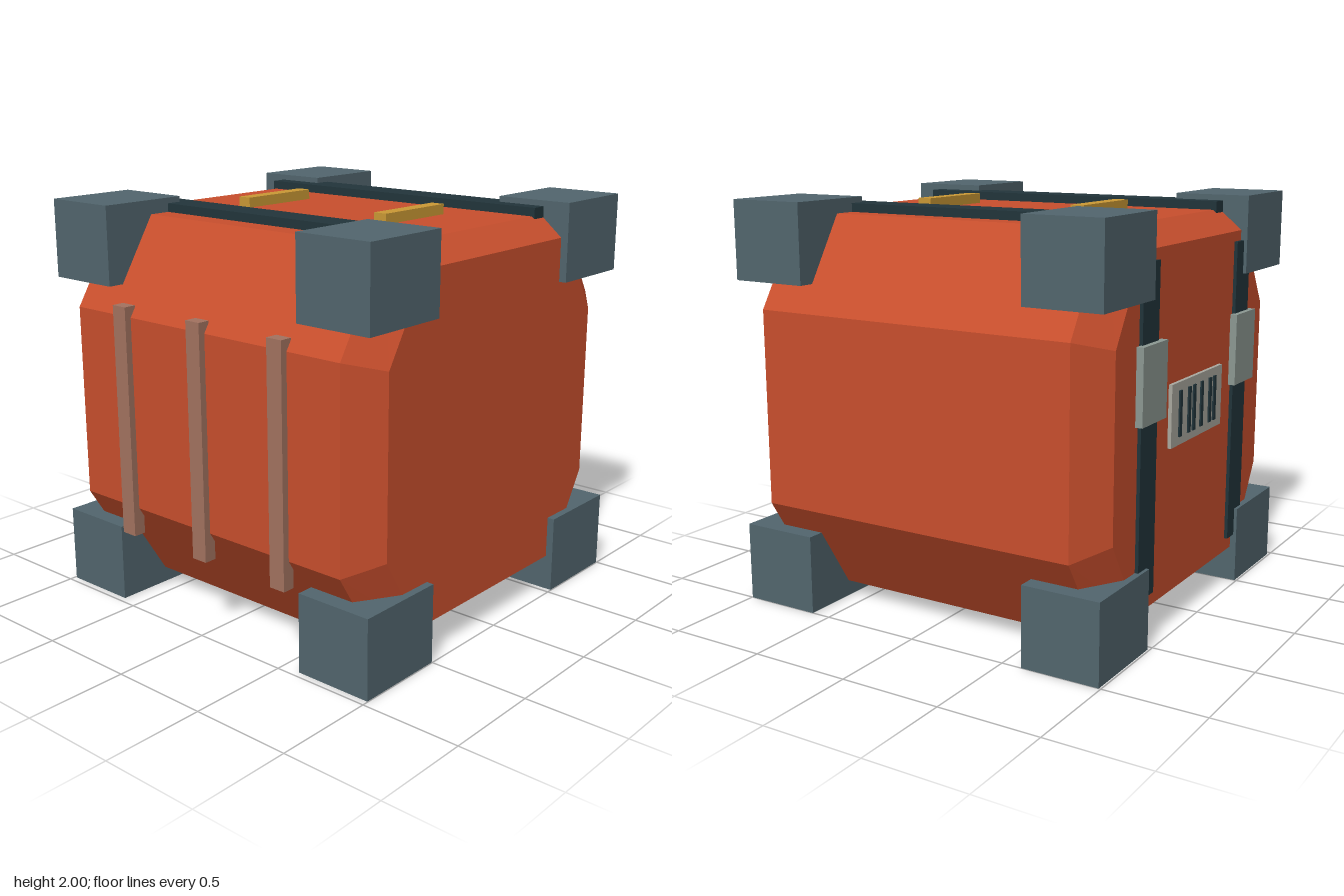
import * as THREE from 'three';

const mat = (name, color) => Object.assign(new THREE.MeshStandardMaterial({ color }), { name });

export function createModel() {
  const group = new THREE.Group();
  group.name = 'cargoCrate';
  const orange = mat('orange shell', 0xc94f2d);
  const slate = mat('slate corner', 0x52666e);
  const dark = mat('dark strap', 0x22353b);
  const gold = mat('gold handle', 0xcb9935);
  const steel = mat('grey latch', 0x8d9993);
  const pale = mat('pale plate', 0xaaa9a0);
  const brown = mat('brown rib', 0xa37360);
  const CX = 0.0165; // the ribs on one side push the crate slightly off centre

  // box given by its minimum and maximum corners
  const box = (name, material, [x0, y0, z0], [x1, y1, z1]) => {
    const mesh = new THREE.Mesh(new THREE.BoxGeometry(x1 - x0, y1 - y0, z1 - z0), material);
    mesh.position.set((x0 + x1) / 2, (y0 + y1) / 2, (z0 + z1) / 2);
    mesh.name = name;
    group.add(mesh);
  };

  // shell: octagonal rings along z, smaller at both ends for the bevel
  const ring = (z, wide, narrow, midH, topH) =>
    [[wide, -midH], [wide, midH], [narrow, topH], [-narrow, topH],
      [-wide, midH], [-wide, -midH], [-narrow, -topH], [narrow, -topH]]
      .map(([x, y]) => [CX + x, 1.005 + y, z]);
  const rings = [
    ring(-0.957, 0.81, 0.57, 0.43, 0.825),
    ring(-0.837, 0.983, 0.705, 0.48, 0.925),
    ring(0.84, 0.983, 0.705, 0.48, 0.925),
    ring(0.96, 0.81, 0.57, 0.43, 0.825),
  ];
  const pos = [];
  const tri = (a, b, c) => pos.push(...a, ...b, ...c);
  for (let r = 0; r < 3; r++) {
    for (let i = 0; i < 8; i++) {
      const j = (i + 1) % 8;
      const [a, b, c, d] = [rings[r][i], rings[r][j], rings[r + 1][j], rings[r + 1][i]];
      tri(a, b, c);
      tri(a, c, d);
    }
  }
  for (let i = 1; i < 7; i++) {
    tri(rings[3][0], rings[3][i], rings[3][i + 1]);
    tri(rings[0][0], rings[0][i + 1], rings[0][i]);
  }
  const shell = new THREE.BufferGeometry();
  shell.setAttribute('position', new THREE.Float32BufferAttribute(pos, 3));
  shell.computeVertexNormals();
  const body = new THREE.Mesh(shell, orange);
  body.name = 'shell';
  group.add(body);

  // eight corner blocks
  for (const [x0, x1] of [[-0.967, -0.5], [0.53, 1]]) {
    for (const [y0, y1] of [[0, 0.39], [1.615, 2]]) {
      for (const [z0, z1] of [[-0.99, -0.6], [0.6, 0.997]]) {
        box('cornerBlock', slate, [x0, y0, z0], [x1, y1, z1]);
      }
    }
  }

  // straps over the top and down the back, each with a latch
  for (const x of [-0.498, 0.53]) {
    box('topStrap', dark, [x - 0.08, 1.91, -0.855], [x + 0.08, 1.972, 0.855]);
    box('backStrap', dark, [x - 0.08, 0.25, -0.974], [x + 0.08, 1.78, -0.94]);
    box('latch', steel, [x - 0.12, 1.07, -1], [x + 0.12, 1.425, -0.965]);
  }

  // handles on the lid
  for (const z of [-0.437, 0.437]) {
    box('handle', gold, [-0.21, 1.92, z - 0.036], [0.238, 1.98, z + 0.036]);
  }

  // vertical ribs on one side
  for (const z of [-0.5, 0, 0.5]) {
    box('sideRib', brown, [-1, 0.388, z - 0.043], [-0.937, 1.54, z + 0.043]);
  }

  // back plate with dark bars
  box('backPlate', pale, [-0.27, 0.895, -0.975], [0.3, 1.195, -0.95]);
  for (const x of [-0.176, -0.123, -0.026, 0.06, 0.115, 0.212]) {
    box('plateBar', dark, [x - 0.013, 0.935, -0.983], [x + 0.013, 1.155, -0.974]);
  }

  return group;
}
